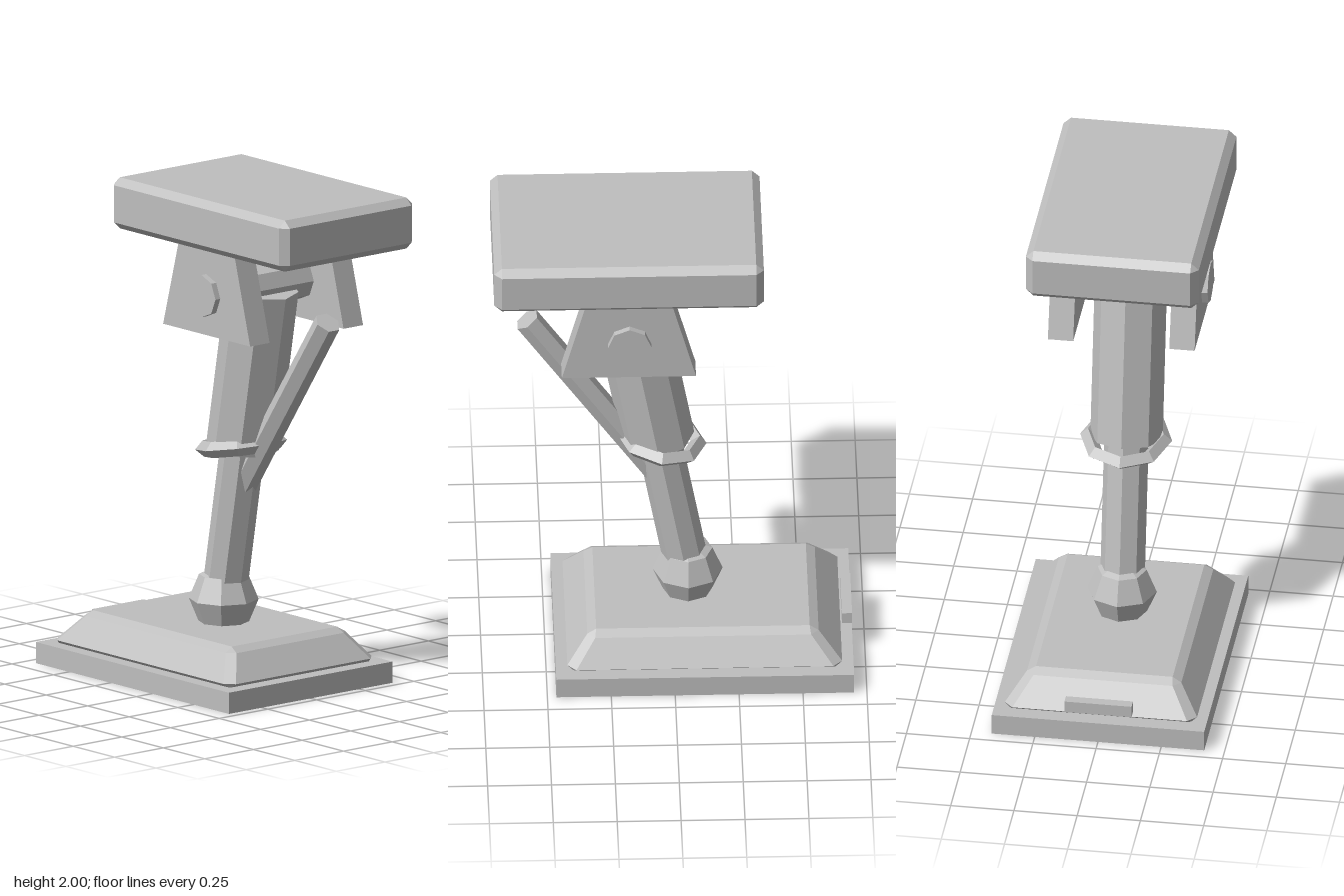
import * as THREE from 'three';
import { ConvexGeometry } from 'three/addons/geometries/ConvexGeometry.js';

export function createModel() {
  const model = new THREE.Group();
  model.name = 'pedalStand';
  const grey = new THREE.MeshStandardMaterial({ color: 0xbebebe, flatShading: true });
  grey.name = 'plain grey';

  function add(name, geometry, x = 0, y = 0, z = 0) {
    const mesh = new THREE.Mesh(geometry, grey);
    mesh.name = name;
    mesh.position.set(x, y, z);
    model.add(mesh);
    return mesh;
  }

  // Faceted solid from rectangular rings [y, halfX, zBack, zFront, cornerCut]
  function ringSolid(rings) {
    const points = [];
    for (const [y, hx, z0, z1, cut] of rings) {
      for (const s of [-1, 1]) {
        points.push(
          new THREE.Vector3(s * hx, y, z0 + cut), new THREE.Vector3(s * (hx - cut), y, z0),
          new THREE.Vector3(s * hx, y, z1 - cut), new THREE.Vector3(s * (hx - cut), y, z1));
      }
    }
    return new ConvexGeometry(points);
  }

  // Straight rod between two points [y, z] in the middle plane
  function rod(name, [y0, z0], [y1, z1], radius, sides, turn = 0) {
    const dy = y1 - y0, dz = z1 - z0;
    const geometry = new THREE.CylinderGeometry(radius, radius, Math.hypot(dy, dz), sides);
    geometry.rotateY(turn);
    add(name, geometry, 0, (y0 + y1) / 2, (z0 + z1) / 2).rotation.x = Math.atan2(dz, dy);
  }

  // Base plate, sloped hood and rear tab
  add('basePlate', new THREE.BoxGeometry(0.84, 0.085, 1.165), 0, 0.0425, -0.1175);
  add('baseHood', ringSolid([
    [0.08, 0.355, -0.63, 0.395, 0],
    [0.1, 0.38, -0.655, 0.42, 0.035],
    [0.2, 0.305, -0.565, 0.34, 0.03],
    [0.22, 0.27, -0.53, 0.305, 0],
  ]));
  add('rearTab', new THREE.BoxGeometry(0.265, 0.048, 0.04), 0, 0.15, -0.68);

  // Ball joint and leaning telescopic post
  add('ballJoint', new THREE.SphereGeometry(0.137, 8, 4), 0, 0.31, -0.06);
  const axisZ = y => -0.06 + 0.181 * (y - 0.31);
  rod('lowerPost', [0.38, axisZ(0.38)], [1.05, axisZ(1.05)], 0.088, 8);
  rod('upperPost', [0.945, axisZ(0.945)], [1.6, axisZ(1.6)], 0.143, 8);

  // Collar, tipped up towards the front
  const ring = new THREE.TorusGeometry(0.15, 0.032, 4, 8);
  ring.rotateX(Math.PI / 2);
  add('collar', ring, 0, 0.945, 0.045).rotation.x = -0.18;

  // Lever
  rod('lever', [0.79, 0.062], [1.525, 0.568], 0.053, 6, Math.PI / 2);

  // Pivot axle and the two bracket plates
  const axle = new THREE.CylinderGeometry(0.085, 0.085, 0.63, 8);
  axle.rotateZ(Math.PI / 2);
  add('pivotAxle', axle, 0, 1.61, 0.175);

  const side = new THREE.Shape([
    new THREE.Vector2(-0.44, 1.45), new THREE.Vector2(0.085, 1.45),
    new THREE.Vector2(-0.01, 1.8), new THREE.Vector2(-0.345, 1.8),
  ]);
  for (const [name, x] of [['leftBracket', 0.19], ['rightBracket', -0.29]]) {
    const plate = new THREE.ExtrudeGeometry(side, { depth: 0.1, bevelEnabled: false });
    plate.rotateY(Math.PI / 2);
    add(name, plate, x);
  }

  // Chamfered top pad
  add('topPad', ringSolid([
    [1.795, 0.312, -0.32, 0.675, 0],
    [1.823, 0.342, -0.35, 0.705, 0.03],
    [1.972, 0.342, -0.35, 0.705, 0.03],
    [2.0, 0.312, -0.32, 0.675, 0],
  ]));

  return model;
}
